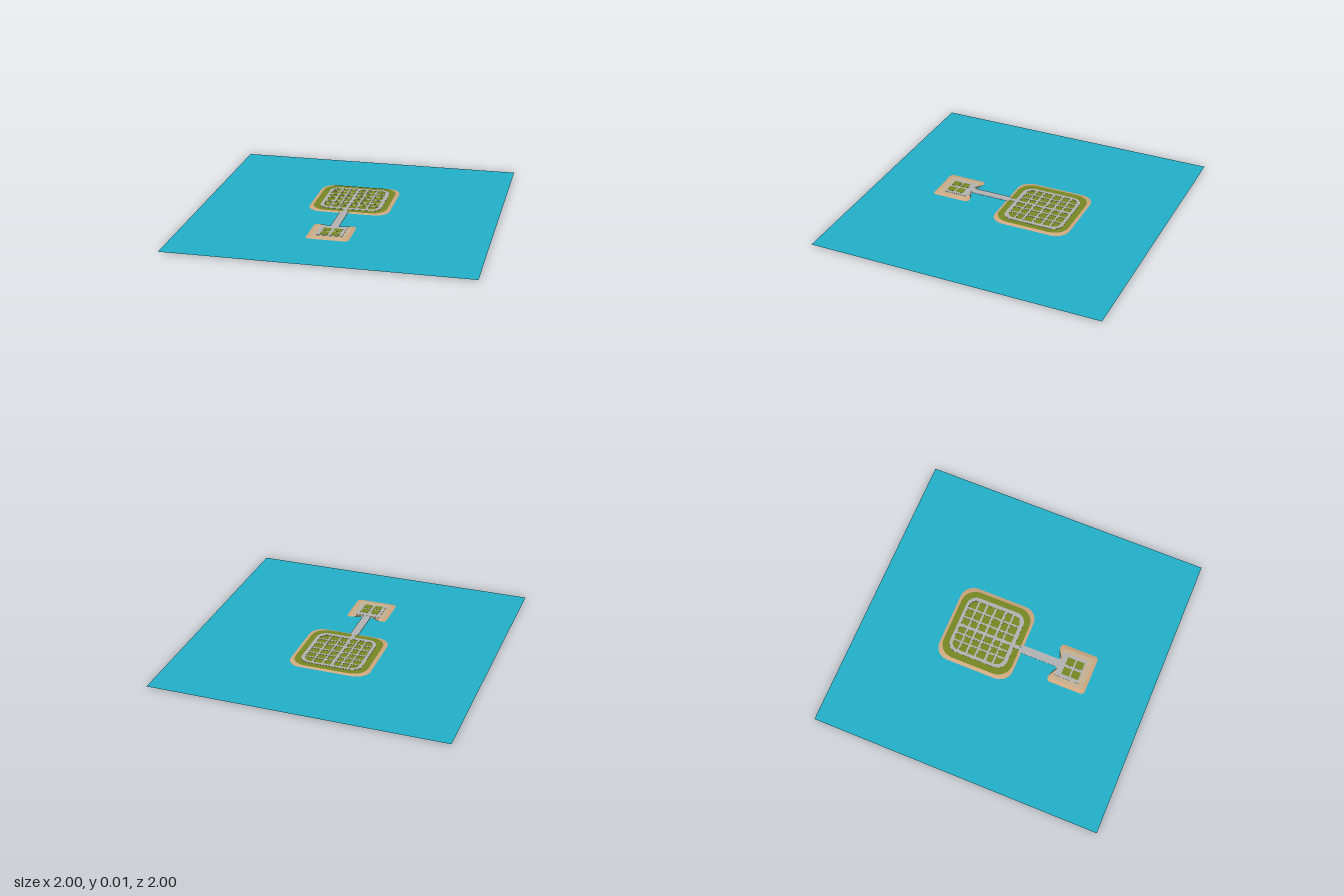
import * as THREE from 'three';

const mat = (name, color, side = THREE.FrontSide) => {
  const m = new THREE.MeshStandardMaterial({ color, side });
  m.name = name;
  return m;
};

// Rounded rectangle outline as [x, z] points, counter-clockwise from above;
// the back edge can dip inward by `notch`.
function outline(x0, x1, z0, z1, r, notch = 0) {
  const pts = [];
  const corners = [[x1 - r, z0 + r], [x0 + r, z0 + r], [x0 + r, z1 - r], [x1 - r, z1 - r]];
  corners.forEach(([cx, cz], c) => {
    for (let i = 0; i <= 6; i++) {
      const a = (c + i / 6) * Math.PI / 2;
      pts.push([cx + r * Math.cos(a), cz - r * Math.sin(a)]);
    }
    if (c === 0) {
      for (let k = 1; k < 16; k++) {
        const t = k / 16;
        const dip = Math.min(1, 1.5 * Math.sin(Math.PI * t) ** 2);
        pts.push([x1 - r + (x0 - x1 + 2 * r) * t, z0 + notch * dip]);
      }
    }
  });
  return pts;
}

const toShape = (pts) => new THREE.Shape(pts.map(([x, z]) => new THREE.Vector2(x, -z)));

// Sloped shore between a low outer loop and a high inner loop
function shoreGeometry(low, high, y0, y1) {
  const pos = [], index = [], n = low.length;
  for (let i = 0; i < n; i++) {
    pos.push(low[i][0], y0, low[i][1], high[i][0], y1, high[i][1]);
    const a = 2 * i, b = 2 * ((i + 1) % n);
    index.push(a, b, a + 1, b, b + 1, a + 1);
  }
  const g = new THREE.BufferGeometry();
  g.setAttribute('position', new THREE.Float32BufferAttribute(pos, 3));
  g.setIndex(index);
  g.computeVertexNormals();
  return g;
}

export function createModel() {
  const model = new THREE.Group();
  const water = mat('water blue', 0x22b0c9, THREE.DoubleSide);
  const shore = mat('shore sand', 0xcfa980, THREE.DoubleSide);
  const sand = mat('beach sand', 0xc8b090, THREE.DoubleSide);
  const grass = mat('grass green', 0x778822, THREE.DoubleSide);
  const road = mat('road grey', 0xb3b3b3);

  const WATER = 0.005, LAND = 0.011, ROAD = 0.0125;

  const add = (name, geometry, material, parent = model) => {
    const mesh = new THREE.Mesh(geometry, material);
    mesh.name = name;
    parent.add(mesh);
    return mesh;
  };
  const flat = (name, shape, y, material, parent) =>
    add(name, new THREE.ShapeGeometry(shape).rotateX(-Math.PI / 2).translate(0, y, 0), material, parent);
  // Thin plate given by its extents and top height
  const plate = (name, x0, x1, z0, z1, top, material, parent, thick = 0.0015) =>
    add(name, new THREE.BoxGeometry(x1 - x0, thick, z1 - z0)
      .translate((x0 + x1) / 2, top - thick / 2, (z0 + z1) / 2), material, parent);

  // Sea
  add('sea', new THREE.PlaneGeometry(2, 2).rotateX(-Math.PI / 2).translate(0, WATER, 0), water);

  // Main island
  const main = new THREE.Group();
  main.name = 'mainIsland';
  model.add(main);
  const mainTop = outline(-0.26, 0.246, -0.433, 0.067, 0.1);
  add('mainShore', shoreGeometry(outline(-0.305, 0.29, -0.468, 0.1, 0.09), mainTop, 0, LAND), shore, main);
  flat('mainGrass', toShape(mainTop), LAND, grass, main);

  // Ring road
  const ring = toShape(outline(-0.215, 0.206, -0.391, 0.026, 0.07));
  ring.holes.push(toShape(outline(-0.193, 0.18, -0.37, -0.001, 0.05)));
  add('ringRoad', new THREE.ExtrudeGeometry(ring, { depth: 0.0015, bevelEnabled: false })
    .rotateX(-Math.PI / 2).translate(0, ROAD - 0.0015, 0), road, main);

  // Street grid
  [[-0.134, 0.012], [-0.08, 0.012], [-0.021, 0.021], [0.043, 0.013], [0.112, 0.013]].forEach(([x, w]) =>
    plate('longStreet', x - w / 2, x + w / 2, -0.375, 0.004, ROAD - 0.0001, road, main));
  [[-0.313, 0.012], [-0.254, 0.014], [-0.19, 0.014], [-0.118, 0.015], [-0.062, 0.012]].forEach(([z, w]) =>
    plate('crossStreet', -0.198, 0.185, z - w / 2, z + w / 2, ROAD - 0.0002, road, main));

  // Link road and bridge
  plate('linkRoad', -0.037, -0.011, 0.02, 0.07, ROAD - 0.0001, road);
  plate('bridge', -0.053, 0.004, 0.066, 0.36, ROAD - 0.0003, road);

  // Small island
  const small = new THREE.Group();
  small.name = 'smallIsland';
  model.add(small);
  const smallTop = outline(-0.142, 0.092, 0.332, 0.558, 0.03, 0.022);
  add('smallShore', shoreGeometry(outline(-0.187, 0.137, 0.302, 0.602, 0.02, 0.03), smallTop, 0, LAND), shore, small);
  flat('smallBeach', toShape(smallTop), LAND, sand, small);
  plate('smallPavement', -0.11, 0.063, 0.35, 0.521, ROAD, road, small);
  for (const [x0, x1] of [[-0.087, -0.032], [-0.014, 0.041]])
    for (const [z0, z1] of [[0.392, 0.446], [0.457, 0.511]])
      plate('grassBlock', x0, x1, z0, z1, ROAD + 0.0006, grass, small, 0.001);

  return model;
}
